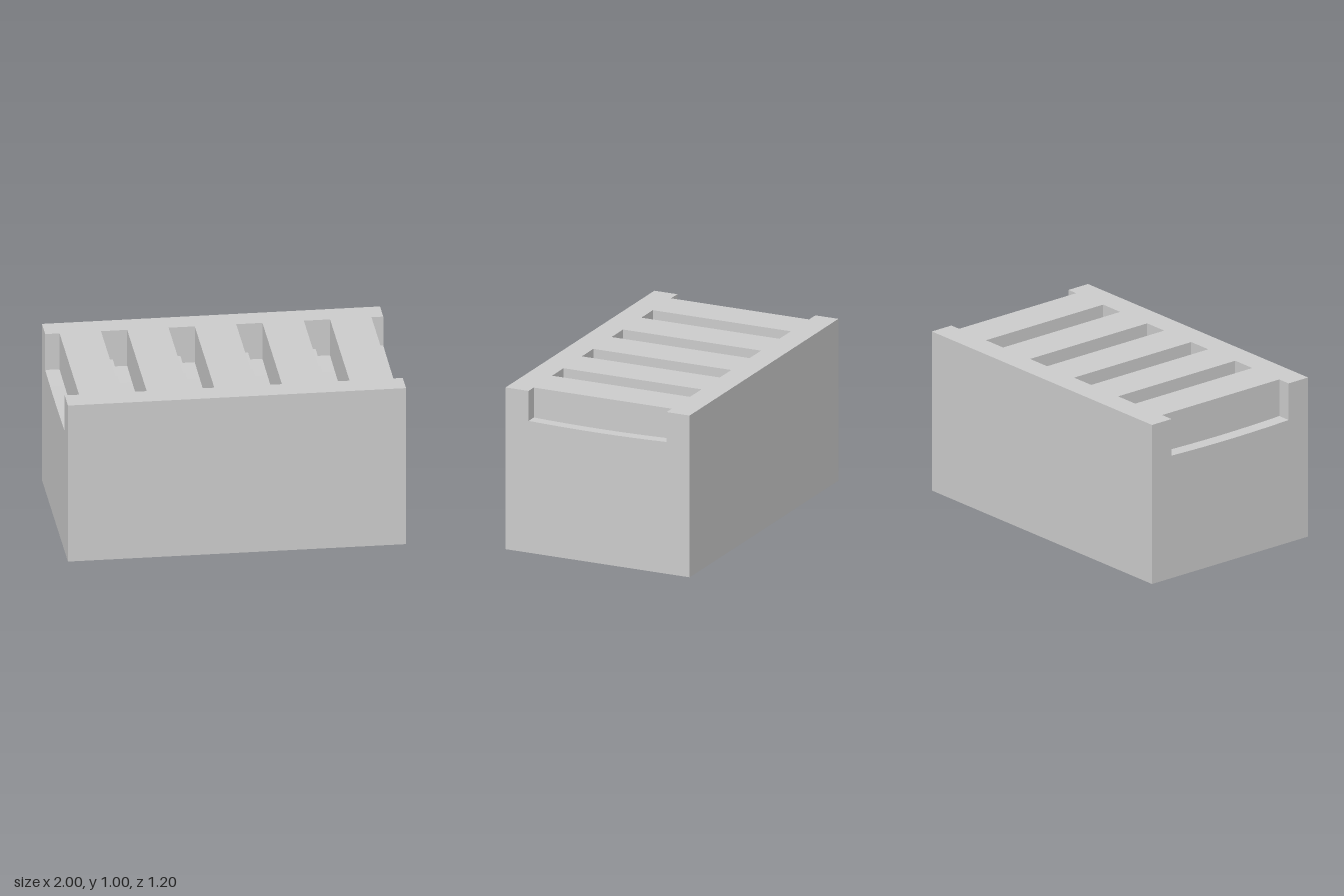
import * as THREE from 'three';

const W = 1, H = 1, D = 0.6;          // half width, height, half depth
const SLOT = 0.45;                    // half length of the slots
const LEFT = 0.07, RIGHT = 0.085;     // slot width on either side of each seam
const HIGH = 0.815, LOW = 0.77;       // floor heights on either side of each seam
const SAG = 0.008, STEPS = 8;         // slight bow of the floors

const material = new THREE.MeshStandardMaterial({ color: 0xcccccc, flatShading: true });

// Slightly sagging floor line across the depth
function floorLine(height) {
  return Array.from({ length: STEPS + 1 }, (_, i) => {
    const t = (2 * i) / STEPS - 1;
    return new THREE.Vector2(t * SLOT, height - SAG * (1 - t * t));
  });
}

const v = (x, y) => new THREE.Vector2(x, y);
const slotOutline = (height) => [v(-SLOT, H), ...floorLine(height), v(SLOT, H)];

export function createModel() {
  const group = new THREE.Group();

  function add(name, geometry) {
    const mesh = new THREE.Mesh(geometry, material);
    mesh.name = name;
    group.add(mesh);
    return mesh;
  }

  // Flat upright panel across the depth, facing +x (dir 1) or -x (dir -1)
  function crossPanel(name, points, x, dir) {
    const mesh = add(name, new THREE.ShapeGeometry(new THREE.Shape(points)));
    mesh.rotation.y = (dir * Math.PI) / 2;
    mesh.position.x = x;
  }

  // Floor and end walls of a slot: its outline swept along x, facing inwards
  function trough(name, height, x0, x1) {
    const line = slotOutline(height), pos = [], index = [];
    line.forEach((p, i) => {
      pos.push(x0, p.y, p.x, x1, p.y, p.x);
      if (i) {
        const a = 2 * i - 2;
        index.push(a, a + 2, a + 3, a, a + 3, a + 1);
      }
    });
    const g = new THREE.BufferGeometry();
    g.setAttribute('position', new THREE.Float32BufferAttribute(pos, 3));
    g.setIndex(index);
    const flat = g.toNonIndexed();
    flat.computeVertexNormals();
    add(name, flat);
  }

  // Front, back and bottom
  add('frontSide', new THREE.PlaneGeometry(2 * W, H)).position.set(0, H / 2, D);
  const back = add('backSide', new THREE.PlaneGeometry(2 * W, H));
  back.position.set(0, H / 2, -D);
  back.rotation.y = Math.PI;
  add('bottom', new THREE.PlaneGeometry(2 * W, 2 * D)).rotation.x = Math.PI / 2;

  // Notched ends
  for (const [name, height, dir] of [['leftEnd', HIGH, 1], ['rightEnd', LOW, -1]]) {
    crossPanel(name, [v(-D, 0), v(-D, H), ...slotOutline(height), v(D, H), v(D, 0)], dir * W, dir);
  }

  // Top with end notches and four slot openings
  const top = new THREE.Shape([
    v(-W, -D), v(W, -D), v(W, -SLOT), v(W - LEFT, -SLOT), v(W - LEFT, SLOT), v(W, SLOT),
    v(W, D), v(-W, D), v(-W, SLOT), v(-W + RIGHT, SLOT), v(-W + RIGHT, -SLOT), v(-W, -SLOT),
  ]);

  // Slots at an even pitch, the outermost ones cut in half by the ends
  for (let i = 0; i <= 5; i++) {
    const x = -W + 0.4 * i;
    if (i > 0) {
      trough('slotUpperFloor', HIGH, x - LEFT, x);
      crossPanel('slotWall', slotOutline(HIGH), x - LEFT, 1);
    }
    if (i < 5) {
      trough('slotLowerFloor', LOW, x, x + RIGHT);
      crossPanel('slotWall', slotOutline(LOW), x + RIGHT, -1);
    }
    if (i > 0 && i < 5) {
      // Step between the two floor heights
      crossPanel('slotStep', [...floorLine(LOW), ...floorLine(HIGH).reverse()], x, 1);
      top.holes.push(new THREE.Path([
        v(x - LEFT, -SLOT), v(x - LEFT, SLOT), v(x + RIGHT, SLOT), v(x + RIGHT, -SLOT),
      ]));
    }
  }
  const topMesh = add('top', new THREE.ShapeGeometry(top));
  topMesh.rotation.x = -Math.PI / 2;
  topMesh.position.y = H;

  return group;
}
